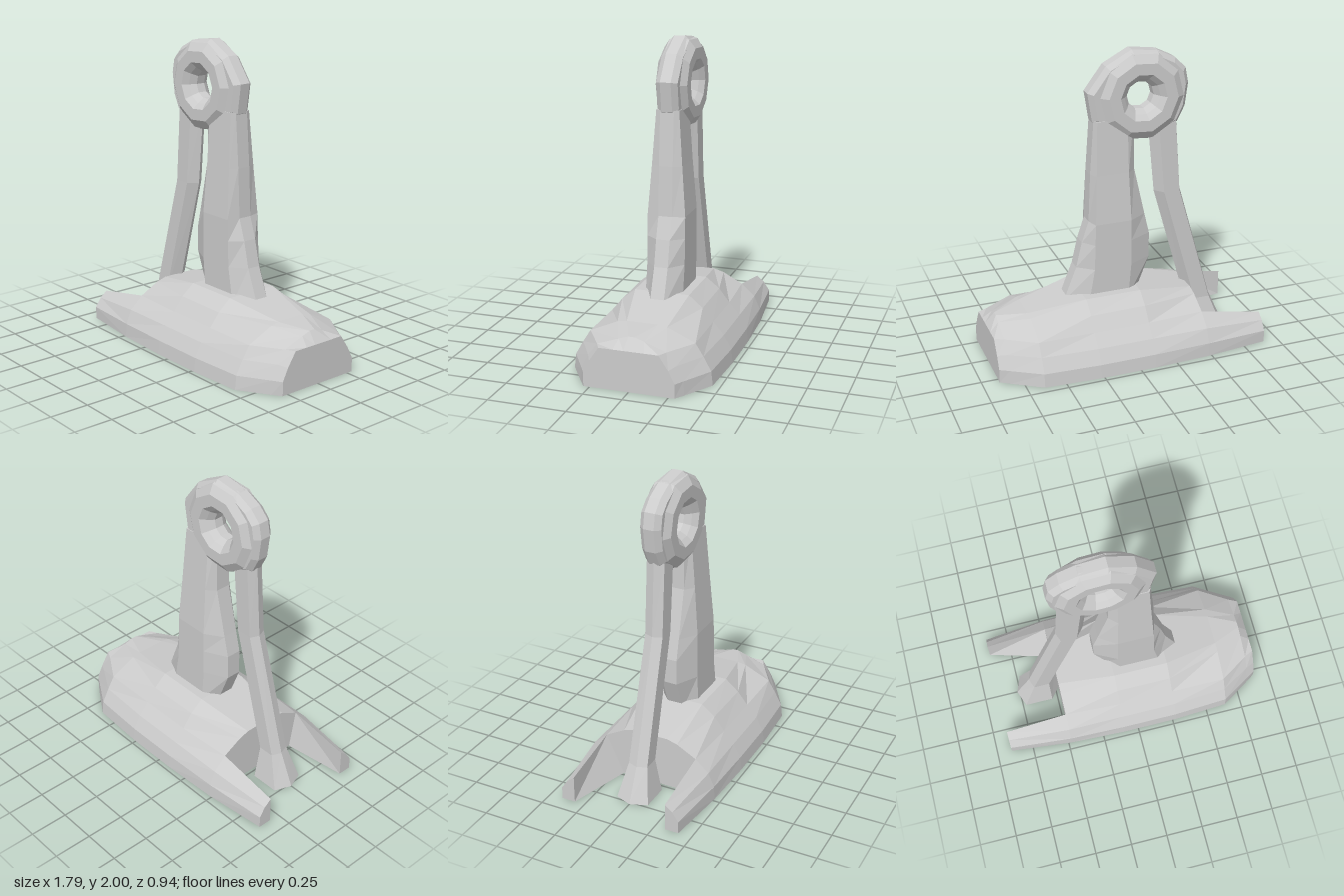
import * as THREE from 'three';

const material = new THREE.MeshStandardMaterial({ color: 0xcccccc, flatShading: true });

function part(name, geometry) {
  const mesh = new THREE.Mesh(geometry, material);
  mesh.name = name;
  return mesh;
}

// Skins closed loops of [x, y, z] points, caps both ends and turns all faces outward.
function loft(loops) {
  const n = loops[0].length;
  const tris = [];
  for (let s = 0; s < loops.length - 1; s++) {
    for (let i = 0; i < n; i++) {
      const j = (i + 1) % n;
      const a = loops[s][i], b = loops[s][j], c = loops[s + 1][j], d = loops[s + 1][i];
      tris.push([a, b, c], [a, c, d]);
    }
  }
  const first = loops[0], last = loops[loops.length - 1];
  const centre = (loop) => [0, 1, 2].map((k) => loop.reduce((sum, p) => sum + p[k], 0) / n);
  const c0 = centre(first), c1 = centre(last);
  for (let i = 0; i < n; i++) {
    const j = (i + 1) % n;
    tris.push([c0, first[j], first[i]], [c1, last[i], last[j]]);
  }
  const v = (p) => new THREE.Vector3(...p);
  const volume = tris.reduce((sum, [a, b, c]) => sum + v(a).dot(v(b).cross(v(c))), 0);
  if (volume < 0) tris.forEach((t) => t.reverse());
  const geometry = new THREE.BufferGeometry();
  geometry.setAttribute('position', new THREE.Float32BufferAttribute(tris.flat(2), 3));
  geometry.computeVertexNormals();
  return geometry;
}

// Foot: half profiles [z, y] at stations along x, mirrored across z.
function makeFoot() {
  const stations = [
    [-0.48, [[0.455, 0], [0.45, 0.09], [0.41, 0.18], [0.32, 0.26], [0.19, 0.33], [0.12, 0.35]]],
    [-0.1, [[0.47, 0], [0.46, 0.09], [0.41, 0.18], [0.34, 0.26], [0.27, 0.35], [0.18, 0.42]]],
    [0.27, [[0.47, 0], [0.46, 0.09], [0.41, 0.18], [0.34, 0.26], [0.27, 0.345], [0.18, 0.42]]],
    [0.64, [[0.45, 0], [0.44, 0.09], [0.39, 0.18], [0.34, 0.26], [0.16, 0.34], [0.1, 0.35]]],
    [0.83, [[0.33, 0], [0.325, 0.09], [0.28, 0.18], [0.22, 0.26], [0.08, 0.31], [0.02, 0.33]]],
    [0.89, [[0.29, 0], [0.29, 0.09], [0.25, 0.17], [0.19, 0.26], [0.1, 0.26], [0.03, 0.26]]],
  ];
  return loft(stations.map(([x, half]) => [
    ...half.map(([z, y]) => [x, y, z]),
    ...half.slice().reverse().map(([z, y]) => [x, y, -z]),
  ]));
}

// Heel prong on one side, with its inner wall sloping in to the notch.
function makeProng(side, innerZ) {
  const root = [[0.455, 0], [0.45, 0.09], [0.41, 0.18], [0.32, 0.26], [innerZ, 0]];
  const tip = [[0.41, 0], [0.41, 0.08], [0.37, 0.14], [0.32, 0.18], [0.32, 0]];
  const place = (x, points) => points.map(([z, y]) => [x, y, side * z]);
  return loft([place(-0.48, root), place(-0.9, tip)]);
}

// Shin: eight-sided sections [y, back x, rear side x, front side x, front x, half width].
function makeShin() {
  const sections = [
    [0.36, -0.12, -0.04, 0.23, 0.38, 0.125],
    [0.59, -0.21, -0.06, 0.19, 0.29, 0.125],
    [0.76, -0.21, -0.06, 0.185, 0.25, 0.125],
    [0.9, -0.177, -0.06, 0.18, 0.203, 0.125],
    [1.22, -0.105, -0.05, 0.165, 0.19, 0.1],
    [1.57, -0.1, -0.05, 0.15, 0.165, 0.075],
  ];
  return loft(sections.map(([y, back, rear, fore, front, w]) => [
    [back, y, 0.05], [rear, y, w], [fore, y, w], [front, y, 0.045],
    [front, y, -0.045], [fore, y, -w], [rear, y, -w], [back, y, -0.05],
  ]));
}

// Rear strut: six-sided sections [y, back x, front x, half width], flared at the base.
function makeStrut() {
  const sections = [
    [0, -0.77, -0.45, 0.11],
    [0.22, -0.67, -0.49, 0.065],
    [1.03, -0.44, -0.26, 0.06],
    [1.55, -0.405, -0.21, 0.06],
  ];
  return loft(sections.map(([y, x0, x1, w]) => {
    const at = (t) => x0 + (x1 - x0) * t;
    return [[x0, y, 0], [at(0.13), y, w], [at(0.72), y, w],
      [x1, y, 0], [at(0.72), y, -w], [at(0.13), y, -w]];
  }));
}

// Ankle ring: a ten-sided lathe around the z axis.
function makeRing() {
  const half = [[0.09, 0.03], [0.12, 0.07], [0.155, 0.103], [0.23, 0.103], [0.285, 0.065], [0.3, 0.02]];
  const profile = [
    ...half.map(([r, z]) => new THREE.Vector2(r, -z)),
    ...half.slice().reverse().map(([r, z]) => new THREE.Vector2(r, z)),
    new THREE.Vector2(half[0][0], -half[0][1]),
  ];
  return new THREE.LatheGeometry(profile, 10)
    .rotateX(Math.PI / 2)
    .rotateZ(THREE.MathUtils.degToRad(22))
    .translate(-0.15, 1.7, 0);
}

// Bevelled band around the ring that widens where the shin and strut join.
function makeBand() {
  const outline = [[0.2, 1.75], [0.08, 1.91], [-0.09, 2], [-0.27, 1.975], [-0.38, 1.92], [-0.45, 1.85],
    [-0.47, 1.75], [-0.45, 1.6], [-0.4, 1.5], [-0.2, 1.41], [0, 1.43], [0.17, 1.56]];
  const shape = new THREE.Shape(outline.map(([x, y]) => new THREE.Vector2(x, y)));
  const hole = new THREE.Path();
  hole.setFromPoints(Array.from({ length: 10 }, (_, i) => {
    const a = -i * Math.PI / 5;
    return new THREE.Vector2(-0.15 + 0.2 * Math.cos(a), 1.7 + 0.2 * Math.sin(a));
  }));
  shape.holes.push(hole);
  return new THREE.ExtrudeGeometry(shape, {
    depth: 0.07, bevelEnabled: true, bevelSegments: 1,
    bevelThickness: 0.035, bevelSize: 0.03, bevelOffset: -0.03,
  }).translate(0, 0, -0.035);
}

export function createModel() {
  const model = new THREE.Group();
  model.name = 'mechanicalLeg';
  model.add(
    part('foot', makeFoot()),
    part('leftHeelProng', makeProng(1, 0.27)),
    part('rightHeelProng', makeProng(-1, 0.2)),
    part('shin', makeShin()),
    part('rearStrut', makeStrut()),
    part('ankleRing', makeRing()),
    part('ringBand', makeBand()),
  );
  return model;
}
